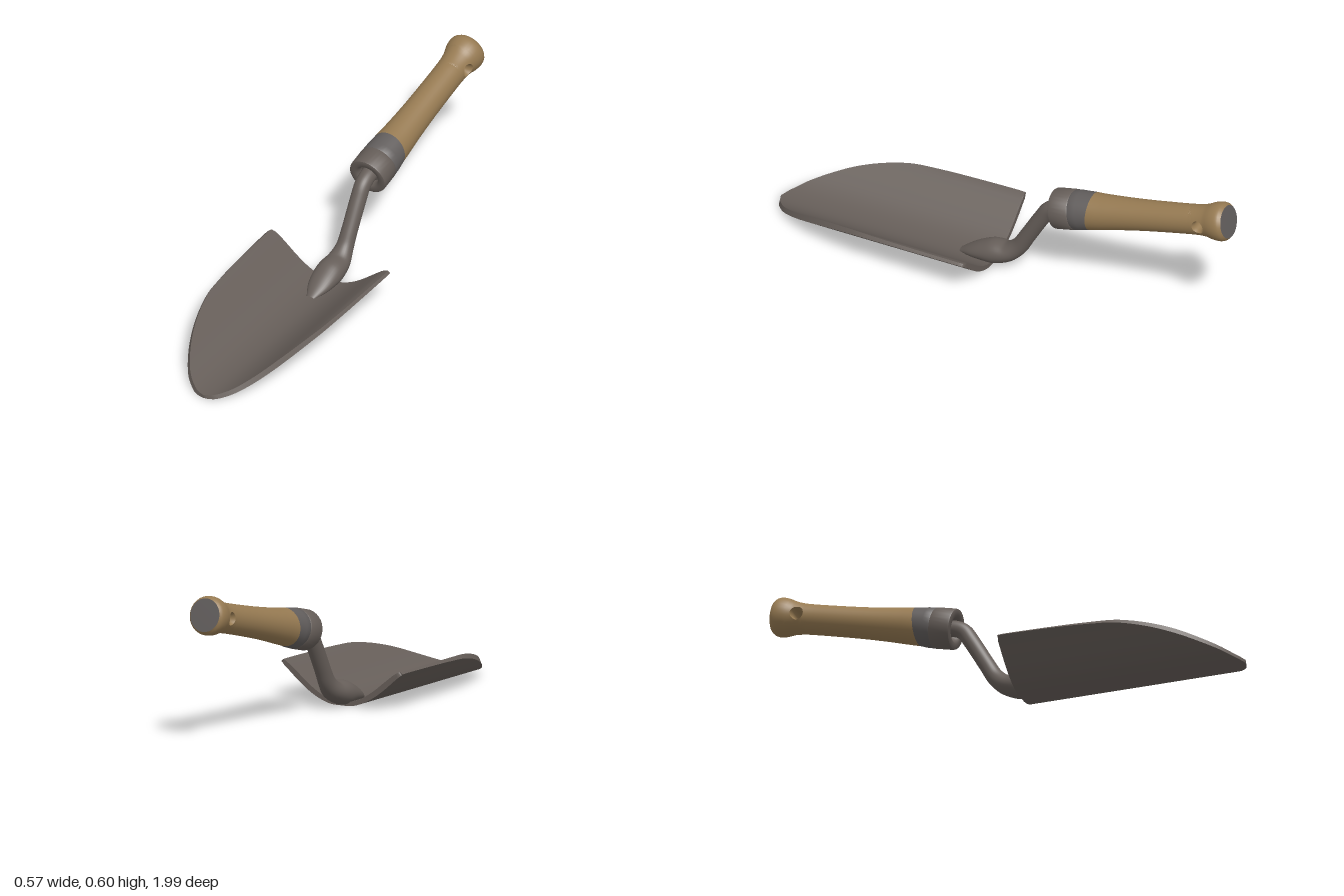
import * as THREE from 'three';
import { mergeGeometries, toCreasedNormals } from 'three/addons/utils/BufferGeometryUtils.js';

const SEG = 32;
const TILT = 0.23; // upward tilt of the handle axis

const steel = new THREE.MeshStandardMaterial({ color: 0x665e59 });
steel.name = 'warm steel';
const darkSteel = new THREE.MeshStandardMaterial({ color: 0x625e5d });
darkSteel.name = 'grey steel';
const wood = new THREE.MeshStandardMaterial({ color: 0x967a52 });
wood.name = 'wood';

// Smooth interpolation through a table of [x, y] pairs
function curveAt(table, x) {
  let i = 0;
  while (i < table.length - 2 && x > table[i + 1][0]) i++;
  const slope = (k) => {
    const a = table[Math.max(k - 1, 0)], b = table[Math.min(k + 1, table.length - 1)];
    return (b[1] - a[1]) / (b[0] - a[0]);
  };
  const [x0, y0] = table[i], [x1, y1] = table[i + 1];
  const h = x1 - x0, t = (x - x0) / h, t2 = t * t, t3 = t2 * t;
  return (2 * t3 - 3 * t2 + 1) * y0 + (t3 - 2 * t2 + t) * h * slope(i)
    + (3 * t2 - 2 * t3) * y1 + (t3 - t2) * h * slope(i + 1);
}

// Skin a list of closed rings of [x, y, z] points
function loft(rings) {
  const n = rings[0].length, index = [];
  for (let i = 0; i < rings.length - 1; i++) {
    for (let j = 0; j < n; j++) {
      const k = (j + 1) % n;
      const a = i * n + j, b = i * n + k, c = b + n, d = a + n;
      index.push(a, b, c, a, c, d);
    }
  }
  const g = new THREE.BufferGeometry();
  g.setAttribute('position', new THREE.Float32BufferAttribute(rings.flat(2), 3));
  g.setIndex(index);
  return g;
}

// Crease at a larger scale so that nearby vertices stay distinct
function makeMesh(name, geometry, material, crease = 0.6) {
  geometry.scale(100, 100, 100);
  const g = toCreasedNormals(geometry, crease);
  g.scale(0.01, 0.01, 0.01);
  const mesh = new THREE.Mesh(g, material);
  mesh.name = name;
  return mesh;
}

// Circular ring around the handle axis (+z), optionally cut on a slant
function ring(r, s, slant = 0) {
  return Array.from({ length: SEG }, (_, j) => {
    const a = (j / SEG) * Math.PI * 2;
    const y = r * Math.sin(a);
    return [r * Math.cos(a), y, s + y * slant];
  });
}

// Dished blade, cut square at the back and rounded to a point in front
function makeBlade() {
  const under = [[-0.05, 0.002], [0, 0], [0.05, 0.002], [0.1, 0.018], [0.15, 0.045],
    [0.2, 0.082], [0.25, 0.125], [0.285, 0.153]];
  const upper = [[-0.05, 0.02], [0, 0.014], [0.05, 0.02], [0.1, 0.04], [0.15, 0.072],
    [0.2, 0.112], [0.25, 0.15], [0.275, 0.16]];
  const outline = new THREE.SplineCurve([
    [0.053, 0.262], [0.059, 0.276], [0.08, 0.283], [0.3, 0.279], [0.45, 0.272], [0.56, 0.261],
    [0.7, 0.226], [0.82, 0.178], [0.92, 0.118], [0.975, 0.06], [0.993, 0.025], [0.998, 0.002],
  ].map(([z, w]) => new THREE.Vector2(z, w))).getPoints(55);
  const cols = 32;
  const section = ({ x: z, y: w }, closed) => {
    const low = [], high = [];
    for (let j = 0; j <= cols; j++) {
      const u = (j / cols) * 2 - 1;
      const xl = u * w, xh = u * Math.max(w - 0.01, w * 0.5);
      const yl = curveAt(under, Math.abs(xl)), yh = curveAt(upper, Math.abs(xh));
      const mid = [(xl + xh) / 2, (yl + yh) / 2, z];
      low.push(closed ? mid : [xl, yl, z]);
      high.unshift(closed ? mid : [xh, yh, z]);
    }
    return [...low, ...high];
  };
  const rings = outline.map((p) => section(p, false));
  rings.unshift(section(outline[0], true));
  rings.push(section(outline[outline.length - 1], true));
  return makeMesh('blade', loft(rings), steel, 0.5);
}

// Bent round stem that flares and flattens onto the blade
function makeStem() {
  const stations = [ // z, y, half width, half height
    [-0.27, 0.357, 0.033, 0.033], [-0.22, 0.347, 0.033, 0.033], [-0.187, 0.328, 0.033, 0.033],
    [-0.155, 0.28, 0.033, 0.033], [-0.09, 0.168, 0.033, 0.033], [-0.055, 0.11, 0.036, 0.035],
    [-0.01, 0.07, 0.05, 0.04], [0.05, 0.054, 0.058, 0.05], [0.1, 0.043, 0.055, 0.04],
    [0.15, 0.029, 0.043, 0.025], [0.2, 0.012, 0.018, 0.008],
  ];
  const path = new THREE.CatmullRomCurve3(stations.map(([z, y]) => new THREE.Vector3(0, y, z)));
  const size = new THREE.CatmullRomCurve3(stations.map((s) => new THREE.Vector3(s[2], s[3], 0)), false, 'catmullrom');
  const rings = [];
  for (let i = 0; i <= 50; i++) {
    const p = path.getPoint(i / 50), t = path.getTangent(i / 50), r = size.getPoint(i / 50);
    rings.push(Array.from({ length: SEG }, (_, j) => {
      const a = (j / SEG) * Math.PI * 2;
      const v = r.y * Math.sin(a);
      return [r.x * Math.cos(a), p.y + v * t.z, p.z - v * t.y];
    }));
  }
  return makeMesh('stem', loft(rings), steel, 1);
}

// Wooden grip with a countersunk hanging hole through its sides
function makeGrip(startRing) {
  const profile = [[0.165, 0.076], [0.22, 0.072], [0.3, 0.067], [0.4, 0.063], [0.52, 0.061],
    [0.64, 0.061], [0.69, 0.066], [0.725, 0.076], [0.75, 0.079], [0.768, 0.076], [0.78, 0.067]];
  const radius = (s) => curveAt(profile, s);
  const hole = 0.67, half = 0.045, R = 0.027, bore = 0.021;
  const span = (from, to, n) => Array.from({ length: n + 1 }, (_, i) => {
    const s = from + ((to - from) * i) / n;
    return ring(radius(s), s);
  });
  const parts = [
    loft([startRing, ...span(0.21, hole - half, 16)]),
    loft(span(hole + half, 0.78, 12)),
  ];

  // Square outline of each side patch, running counterclockwise
  const square = [], n = SEG / 2;
  for (let i = 0; i < n; i++) square.push([-1 + (2 * i) / n, -1]);
  for (let i = 0; i < n; i++) square.push([1, -1 + (2 * i) / n]);
  for (let i = 0; i < n; i++) square.push([1 - (2 * i) / n, 1]);
  for (let i = 0; i < n; i++) square.push([-1, 1 - (2 * i) / n]);

  for (const side of [0, Math.PI]) {
    const sign = Math.cos(side);
    const rings = [];
    for (let k = 0; k <= 8; k++) {
      rings.push(square.map(([b, a]) => {
        const phi = Math.atan2(a, b);
        const f = k / 8;
        const s = hole + (1 - f) * a * half + f * R * Math.sin(phi);
        const rim = Math.asin((R * Math.cos(phi)) / radius(hole + R * Math.sin(phi)));
        const angle = side + (1 - f) * b * Math.PI / 2 + f * rim;
        const r = radius(s);
        return [r * Math.cos(angle), r * Math.sin(angle), s];
      }));
    }
    for (const x of [0.043, 0]) {
      rings.push(square.map(([b, a]) => {
        const phi = Math.atan2(a, b);
        return [sign * x, sign * bore * Math.cos(phi), hole + bore * Math.sin(phi)];
      }));
    }
    parts.push(loft(rings));
  }
  return makeMesh('grip', mergeGeometries(parts), wood, 0.55);
}

// Ferrule, grip and butt plate along one tilted axis
function makeHandle() {
  const handle = new THREE.Group();
  handle.name = 'handle';
  const collar = [[0, 0.03], [0.042, 0.03], [0.044, 0.014], [0.049, 0.004], [0.057, 0], [0.074, 0],
    [0.08, 0.002], [0.082, 0.008], [0.082, 0.084], [0.079, 0.088]].map(([r, s]) => ring(r, s));
  const seam = ring(0.076, 0.165, Math.tan(TILT));
  handle.add(
    makeMesh('ferruleCollar', loft(collar), steel, 0.7),
    makeMesh('ferruleBand', loft([ring(0.079, 0.088), ring(0.081, 0.092), ring(0.08, 0.12), seam]), darkSteel),
    makeGrip(seam),
    makeMesh('buttPlate', loft([ring(0.067, 0.78), ring(0, 0.781)]), darkSteel),
  );
  const c = Math.cos(TILT), s = Math.sin(TILT);
  const basis = new THREE.Matrix4().makeBasis(
    new THREE.Vector3(-1, 0, 0), new THREE.Vector3(0, c, s), new THREE.Vector3(0, s, -c));
  handle.quaternion.setFromRotationMatrix(basis);
  handle.position.set(0, 0.346, -0.22);
  return handle;
}

export function createModel() {
  const trowel = new THREE.Group();
  trowel.name = 'gardenTrowel';
  trowel.add(makeBlade(), makeStem(), makeHandle());
  return trowel;
}
